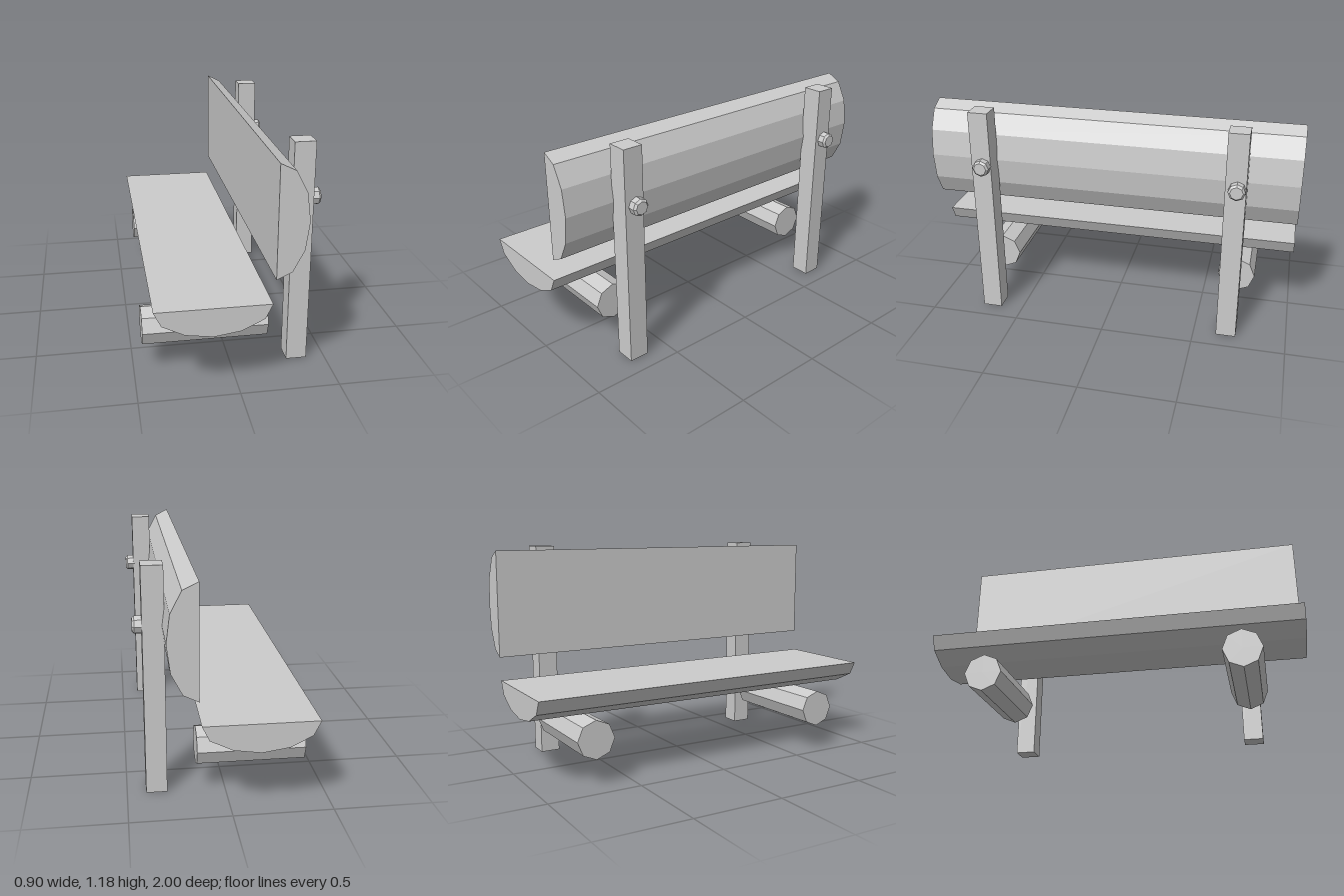
import * as THREE from 'three';

const material = new THREE.MeshStandardMaterial({ color: 0xcccccc, flatShading: true });

function add(group, name, geometry, x = 0, y = 0, z = 0) {
  const mesh = new THREE.Mesh(geometry, material);
  mesh.name = name;
  mesh.position.set(x, y, z);
  group.add(mesh);
}

// Half-log plank running the full length of the bench
function plank(profile) {
  const shape = new THREE.Shape(profile.map(([x, y]) => new THREE.Vector2(x, y)));
  return new THREE.ExtrudeGeometry(shape, { depth: 2, bevelEnabled: false }).translate(0, 0, -1);
}

export function createModel() {
  const bench = new THREE.Group();
  bench.name = 'logBench';

  // Seat: flat side up
  add(bench, 'seat', plank([
    [-0.417, 0.477], [-0.38, 0.403], [-0.27, 0.348], [-0.135, 0.328],
    [0, 0.348], [0.113, 0.403], [0.149, 0.477],
  ]));

  // Backrest: flat side towards the sitter
  add(bench, 'backrest', plank([
    [0.159, 0.6], [0.235, 0.637], [0.29, 0.743], [0.308, 0.883],
    [0.29, 1.022], [0.235, 1.128], [0.159, 1.165],
  ]));

  // Octagonal logs under the seat, one a little shorter
  const logs = [
    { z: 0.677, from: -0.455, to: 0.185 },
    { z: -0.698, from: -0.4, to: 0.15 },
  ];
  for (const { z, from, to } of logs) {
    const log = new THREE.CylinderGeometry(0.102, 0.102, to - from, 8).rotateZ(Math.PI / 2);
    add(bench, 'supportLog', log, (from + to) / 2, 0.242, z);
  }

  // Square posts behind the backrest
  for (const z of [0.677, -0.677]) {
    add(bench, 'post', new THREE.BoxGeometry(0.107, 1.18, 0.107), 0.35, 0.59, z);
  }

  // Bolt heads with a chamfered rim
  const boltProfile = [[0, -0.01], [0.045, -0.01], [0.045, 0.036], [0.034, 0.047], [0, 0.047]]
    .map(([r, h]) => new THREE.Vector2(r, h));
  for (const z of [0.667, -0.685]) {
    const bolt = new THREE.LatheGeometry(boltProfile, 8).rotateZ(-Math.PI / 2);
    add(bench, 'bolt', bolt, 0.403, 0.882, z);
  }

  return bench;
}
